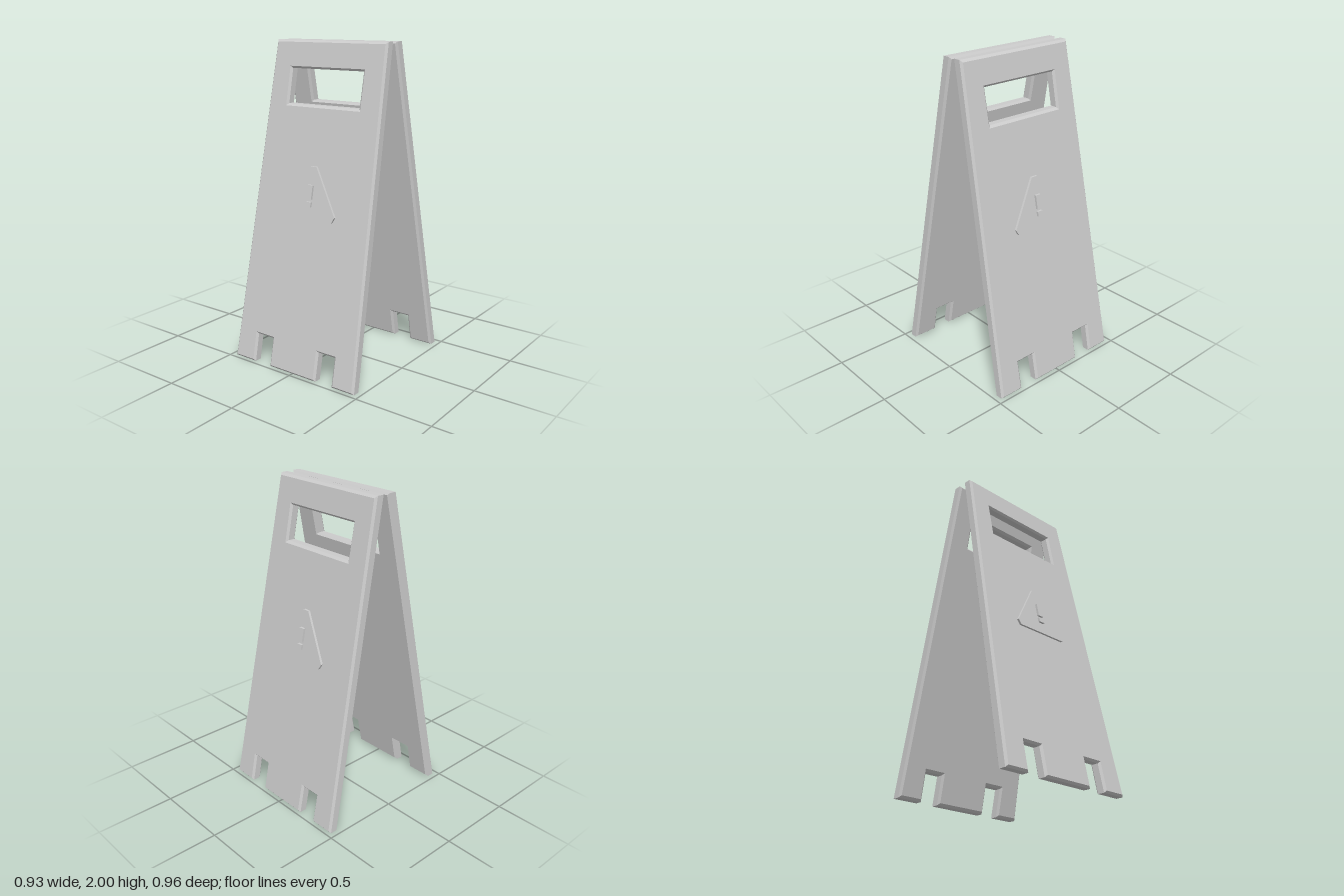
import * as THREE from 'three';

const SLOPE = 0.2;    // how far each panel leans in per unit of height
const FOOT_Z = 0.482; // outer face of a panel at ground level
const THICK = 0.07;
const BEVEL = 0.013;

const material = new THREE.MeshStandardMaterial({ color: 0xcccccc, flatShading: true });
const points = (list) => list.map(([x, y]) => new THREE.Vector2(x, y));

// Extrudes an outline from z0 to z1 (relative to the outer face) and leans it
function leaningPart(name, shape, z0, z1, bevel = 0) {
  const geometry = new THREE.ExtrudeGeometry(shape, {
    depth: z1 - z0 - 2 * bevel,
    bevelEnabled: bevel > 0,
    bevelThickness: bevel,
    bevelSize: bevel,
    bevelOffset: -bevel,
    bevelSegments: 1,
  });
  const pos = geometry.attributes.position;
  for (let i = 0; i < pos.count; i++) {
    pos.setZ(i, pos.getZ(i) + z0 + bevel + FOOT_Z - SLOPE * pos.getY(i));
  }
  geometry.computeVertexNormals();
  const mesh = new THREE.Mesh(geometry, material);
  mesh.name = name;
  return mesh;
}

function rectangle(halfWidth, y0, y1) {
  return points([[-halfWidth, y0], [halfWidth, y0], [halfWidth, y1], [-halfWidth, y1]]);
}

// Mirrors a right-hand half outline (bottom to top) into a closed loop
function mirrored(half) {
  return points([...half, ...half.map(([x, y]) => [-x, y]).reverse()]);
}

function createPanel(name) {
  const panel = new THREE.Group();
  panel.name = name;

  // Tapered board with two foot notches and a handle slot
  const board = new THREE.Shape(mirrored([
    [0.18, 0], [0.18, 0.177], [0.302, 0.177], [0.302, 0], [0.466, 0], [0.41, 2],
  ]));
  board.holes.push(new THREE.Path(rectangle(0.266, 1.617, 1.83)));
  panel.add(leaningPart('board', board, -THICK, 0, BEVEL));

  // Raised warning triangle with clipped corners
  const triangle = new THREE.Shape(mirrored([
    [0.178, 0.952], [0.195, 0.985], [0.022, 1.262],
  ]));
  panel.add(leaningPart('warningTriangle', triangle, -0.005, 0.014));

  // Raised exclamation mark
  panel.add(leaningPart('markBar', new THREE.Shape(rectangle(0.019, 1.07, 1.155)), 0.01, 0.028));
  panel.add(leaningPart('markDot', new THREE.Shape(rectangle(0.019, 1.025, 1.055)), 0.01, 0.028));
  return panel;
}

export function createModel() {
  const sign = new THREE.Group();
  sign.name = 'floorSign';
  const back = createPanel('backPanel');
  back.rotation.y = Math.PI;
  sign.add(createPanel('frontPanel'), back);
  return sign;
}
